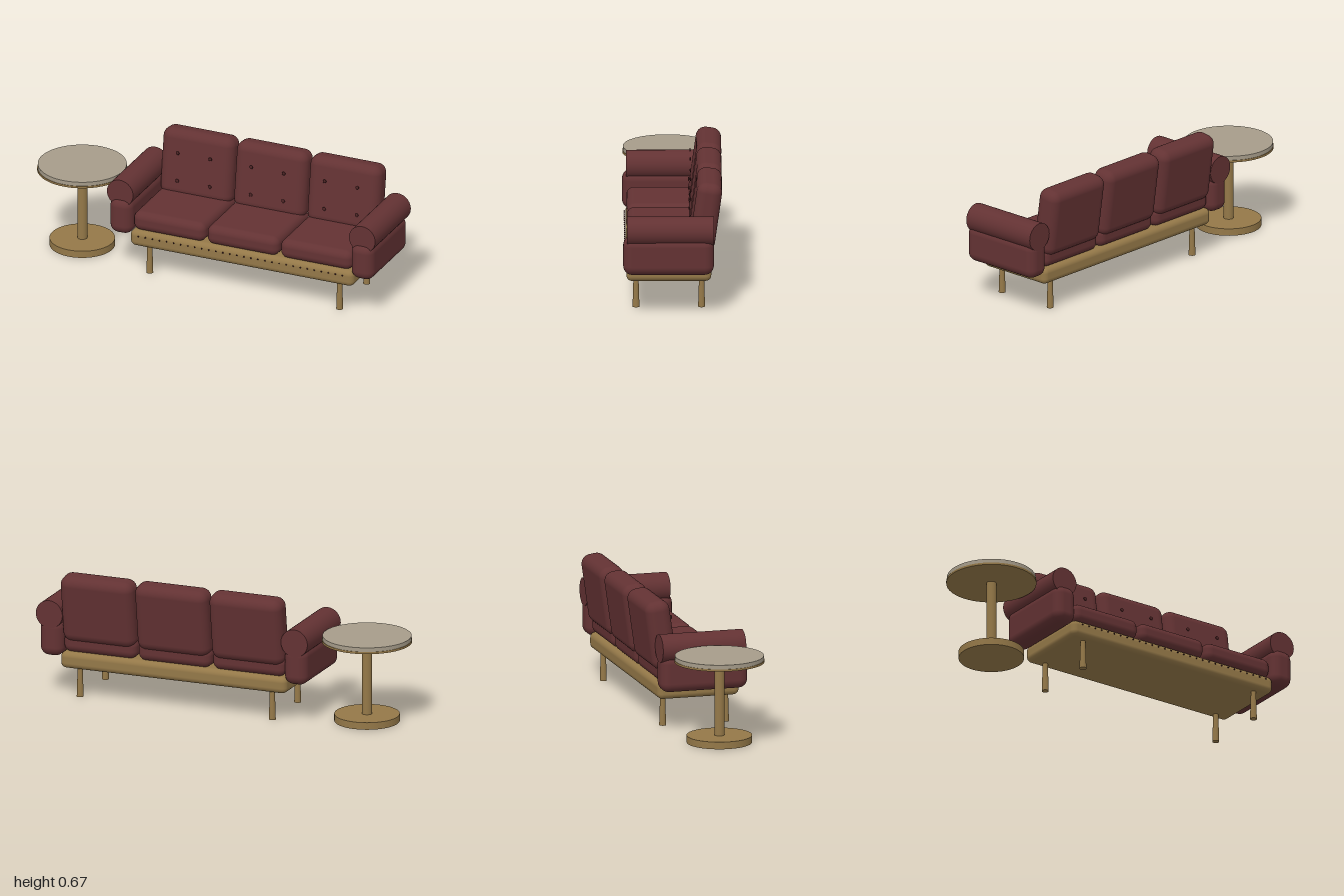
import * as THREE from 'three';
import { RoundedBoxGeometry } from 'three/addons/geometries/RoundedBoxGeometry.js';

export function createModel() {
  const material = (name, color) => {
    const m = new THREE.MeshStandardMaterial({ color });
    m.name = name;
    return m;
  };
  const leather = material('oxblood leather', 0x633233);
  const button = material('dark leather', 0x4d2425);
  const wood = material('oak wood', 0x947848);
  const stone = material('grey stone', 0xa69c8a);

  const model = new THREE.Group();
  model.name = 'sofaAndSideTable';
  const sofa = new THREE.Group();
  sofa.name = 'sofa';
  sofa.position.set(0.235, 0, 0.02);
  const table = new THREE.Group();
  table.name = 'sideTable';
  table.position.set(-0.766, 0, 0.02);
  model.add(sofa, table);

  const add = (parent, name, geometry, mat, x, y, z) => {
    const mesh = new THREE.Mesh(geometry, mat);
    mesh.name = name;
    mesh.position.set(x, y, z);
    parent.add(mesh);
    return mesh;
  };

  // Wooden plinth and tapered legs
  add(sofa, 'plinth', new RoundedBoxGeometry(1.27, 0.09, 0.44, 4, 0.03), wood, 0, 0.2, 0);
  const legGeometry = new THREE.CylinderGeometry(0.013, 0.018, 0.165, 20);
  for (const x of [-0.54, 0.54])
    for (const z of [-0.17, 0.17]) add(sofa, 'leg', legGeometry, wood, x, 0.0825, z);

  // Nail heads along the front of the plinth
  const nailGeometry = new THREE.SphereGeometry(0.004, 10, 8);
  const nails = 30;
  for (let i = 0; i < nails; i++)
    add(sofa, 'nailHead', nailGeometry, button, -0.58 + (1.16 * i) / (nails - 1), 0.22, 0.226);

  // Three seats, each with a reclined back cushion and four buttons
  const seatGeometry = new RoundedBoxGeometry(0.408, 0.105, 0.43, 4, 0.04);
  const backGeometry = new RoundedBoxGeometry(0.406, 0.365, 0.132, 4, 0.05);
  const buttonGeometry = new THREE.SphereGeometry(0.01, 16, 12);
  buttonGeometry.scale(1, 1, 0.4);
  for (const x of [-0.418, 0, 0.418]) {
    add(sofa, 'seatCushion', seatGeometry, leather, x, 0.295, 0);
    add(sofa, 'backCushion', backGeometry, leather, x, 0.489, -0.192).rotation.x = -0.14;
    for (const dx of [-0.0925, 0.0925]) {
      add(sofa, 'upperButton', buttonGeometry, button, x + dx, 0.565, -0.115);
      add(sofa, 'lowerButton', buttonGeometry, button, x + dx, 0.41, -0.108);
    }
  }

  // Arms: padded panel below, rolled bolster on top
  const panelGeometry = new RoundedBoxGeometry(0.128, 0.2, 0.47, 4, 0.048);
  const rollGeometry = new THREE.CylinderGeometry(0.0745, 0.0745, 0.449, 40);
  rollGeometry.rotateX(Math.PI / 2);
  for (const side of [-1, 1]) {
    add(sofa, 'armPanel', panelGeometry, leather, side * 0.686, 0.313, 0.002);
    add(sofa, 'armRoll', rollGeometry, leather, side * 0.6885, 0.443, -0.008);
  }

  // Round pedestal table
  const disc = (name, radius, bottom, top, mat) =>
    add(table, name, new THREE.CylinderGeometry(radius, radius, top - bottom, 64), mat, 0, (bottom + top) / 2, 0);
  disc('tableBase', 0.17, 0, 0.038, wood);
  disc('tableColumn', 0.026, 0.038, 0.43, wood);
  disc('tableRim', 0.234, 0.428, 0.439, wood);
  disc('tableTop', 0.231, 0.439, 0.461, stone);

  return model;
}
